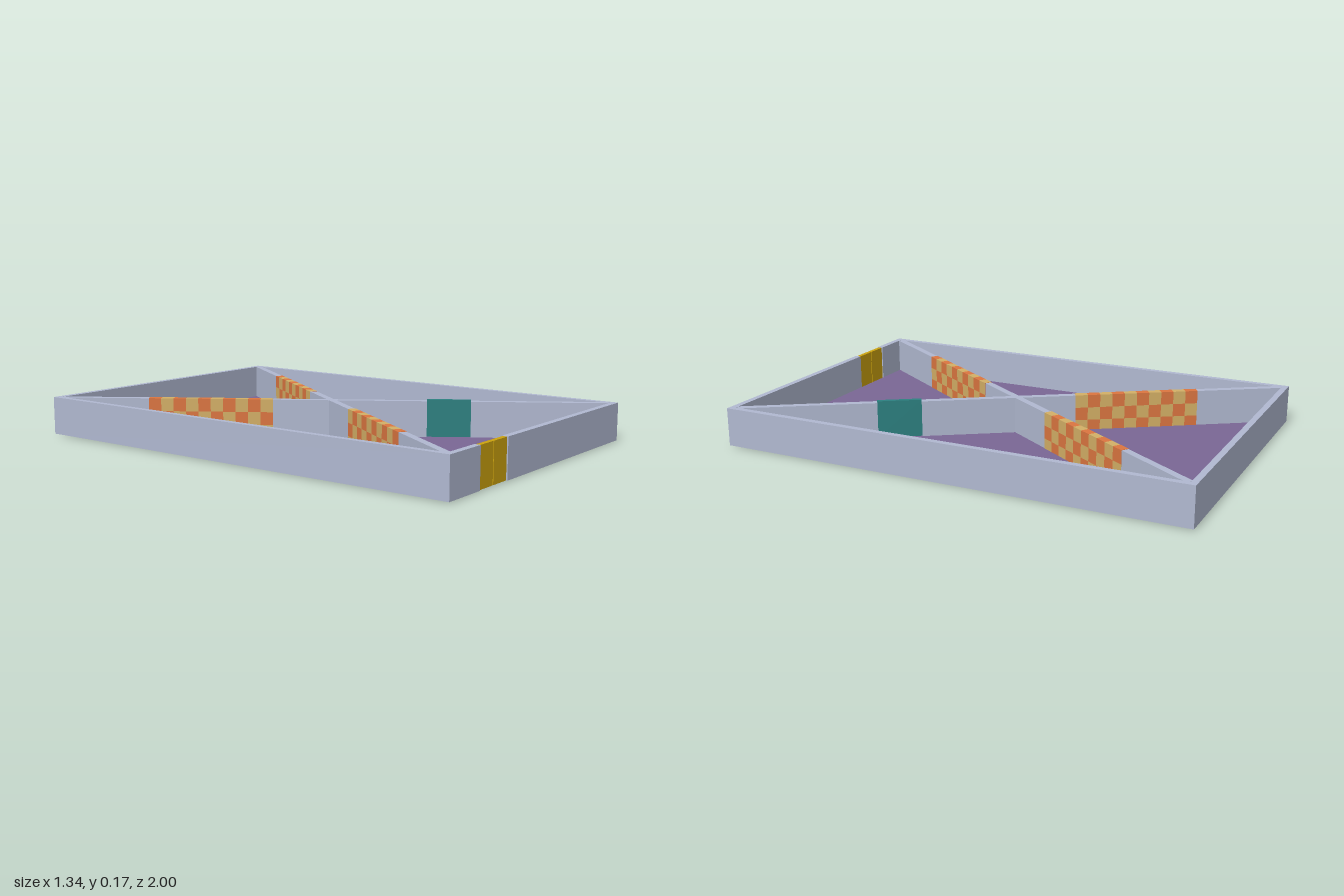
import * as THREE from 'three';

const mat = (name, color) => Object.assign(new THREE.MeshStandardMaterial({ color }), { name });

export function createModel() {
  const wall = mat('pale blue grey', 0xb0b8d0);
  const purple = mat('purple', 0x7a6695);
  const gold = mat('gold', 0xcba20e);
  const tan = mat('tan', 0xd3af66);
  const orange = mat('orange', 0xdb7540);
  const teal = mat('teal', 0x2c8080);

  const root = new THREE.Group();
  root.name = 'walledTray';
  const W = 0.67, L = 1, T = 0.026; // half width, half length, wall thickness
  const Y0 = 0.004, Y1 = 0.165;

  // Box given by its two extreme corners
  function box(name, material, x0, x1, y0, y1, z0, z1, parent = root) {
    const m = new THREE.Mesh(new THREE.BoxGeometry(x1 - x0, y1 - y0, z1 - z0), material);
    m.position.set((x0 + x1) / 2, (y0 + y1) / 2, (z0 + z1) / 2);
    m.name = name;
    parent.add(m);
    return m;
  }

  // Floor and outer walls, with a doorway in the front wall
  const D0 = -0.47, D1 = -0.277;
  box('floor', purple, -W + T, W - T, 0.006, 0.012, -L + T, L - T);
  box('leftWall', wall, W - T, W, Y0, Y1, -L, L);
  box('rightWall', wall, -W, -W + T, Y0, Y1, -L, L);
  box('backWall', wall, -W + T, W - T, Y0, Y1, -L, -L + T);
  box('frontWallRight', wall, -W + T, D0, Y0, Y1, L - T, L);
  box('frontWallLeft', wall, D1, W - T, Y0, Y1, L - T, L);

  // Double front door, slightly recessed
  const mid = (D0 + D1) / 2;
  box('frontDoorLeaf', gold, D0 + 0.002, mid - 0.002, Y0 + 0.001, Y1 - 0.001, L - 0.023, L - 0.004);
  box('frontDoorLeaf', gold, mid + 0.002, D1 - 0.002, Y0 + 0.001, Y1 - 0.001, L - 0.023, L - 0.004);
  box('frontDoorSeam', gold, mid - 0.002, mid + 0.002, Y0 + 0.001, Y1 - 0.001, L - 0.018, L - 0.009);

  // Checkered panel: one subdivided box, a colour for each square
  function checkerPanel(start, end, parent) {
    const cols = 10, rows = 3, len = end - start, h = Y1 + 0.001;
    const geo = new THREE.BoxGeometry(len, h, 0.034, cols, rows, 1);
    const pos = geo.attributes.position, index = geo.index;
    geo.clearGroups();
    for (let i = 0; i < index.count; i += 6) {
      let x = 0, y = 0;
      for (let k = 0; k < 6; k++) {
        x += pos.getX(index.getX(i + k)) / 6;
        y += pos.getY(index.getX(i + k)) / 6;
      }
      const c = Math.min(cols - 1, Math.floor((x / len + 0.5) * cols));
      const r = Math.min(rows - 1, Math.floor((y / h + 0.5) * rows));
      geo.addGroup(i, 6, (c + r) % 2);
    }
    const m = new THREE.Mesh(geo, [tan, orange]);
    m.position.set((start + end) / 2, h / 2, 0);
    m.name = 'checkeredPanel';
    parent.add(m);
  }

  // Four diagonal walls from the centre to the corners
  const reach = 1.163, half = 0.015;
  for (const sx of [-1, 1]) for (const sz of [-1, 1]) {
    const arm = new THREE.Group();
    arm.name = 'diagonalWall';
    arm.rotation.y = Math.atan2(-sz * 0.973, sx * 0.645);
    root.add(arm);
    if (sx > 0 && sz > 0) {
      // This arm has an inner doorway in place of a panel
      box('diagonalInner', wall, 0, 0.405, Y0, Y1, -half, half, arm);
      box('diagonalOuter', wall, 0.59, reach, Y0, Y1, -half, half, arm);
      box('innerDoor', teal, 0.405, 0.59, 0.012, 0.171, -0.01, 0.01, arm);
    } else {
      box('diagonalSection', wall, 0, reach, Y0, Y1, -half, half, arm);
      checkerPanel(0.25, 0.785, arm);
    }
  }
  return root;
}
